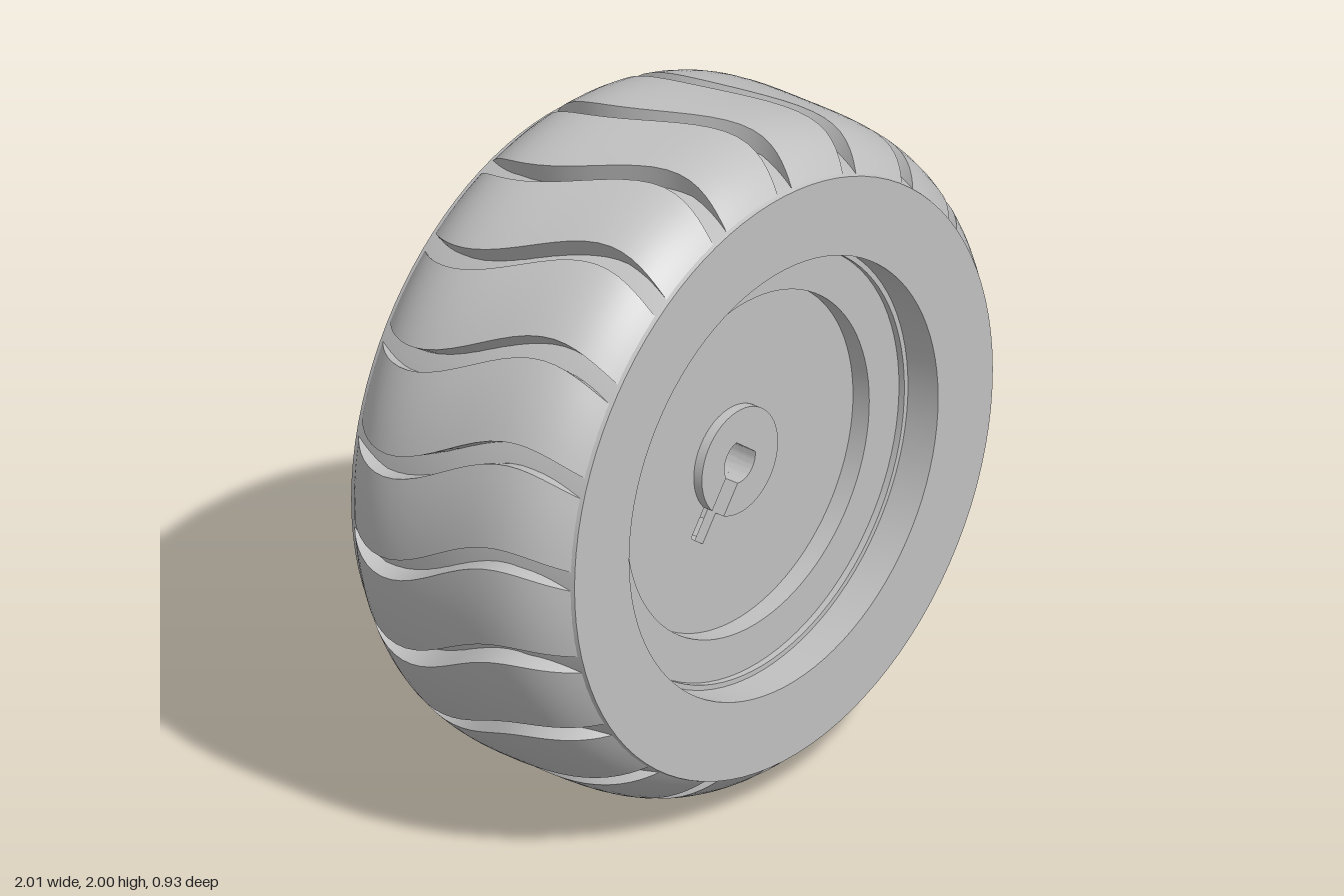
import * as THREE from 'three';
import { mergeGeometries, toCreasedNormals } from 'three/addons/utils/BufferGeometryUtils.js';

const LUGS = 20, PITCH = (Math.PI * 2) / LUGS, GROOVE = 0.066;
const TREAD_HALF = 0.4, SLOT = 0.03, BORE = 0.065;

// Grid surface from a rule f(u, v) -> [x, y, z], facing du x dv
function grid(f, nu, nv) {
  const pos = [], idx = [];
  for (let j = 0; j <= nv; j++) for (let i = 0; i <= nu; i++) pos.push(...f(i / nu, j / nv));
  for (let j = 0; j < nv; j++) for (let i = 0; i < nu; i++) {
    const a = j * (nu + 1) + i, b = a + 1, c = a + nu + 1, d = c + 1;
    idx.push(a, b, d, a, d, c);
  }
  const g = new THREE.BufferGeometry();
  g.setAttribute('position', new THREE.Float32BufferAttribute(pos, 3));
  g.setIndex(idx);
  g.computeVertexNormals();
  return g;
}

// Points along an arc
function arc(r, a0, a1, n = 48) {
  return Array.from({ length: n + 1 }, (_, i) => {
    const a = a0 + ((a1 - a0) * i) / n;
    return new THREE.Vector2(r * Math.cos(a), r * Math.sin(a));
  });
}

// Flat plate between two depths, with an optional hole
function plate(outline, hole, z0, z1) {
  const shape = new THREE.Shape(outline);
  if (hole) shape.holes.push(new THREE.Path(hole));
  const g = new THREE.ExtrudeGeometry(shape, { depth: z1 - z0, bevelEnabled: false });
  g.translate(0, 0, z0);
  return toCreasedNormals(g, 0.5);
}

// One wavy tread block: crown surface and its two groove walls
function lugGeometry() {
  const zAt = t => TREAD_HALF * Math.sin((t - 0.5) * Math.PI);
  const crown = z => 0.882 + 0.116 * (1 - Math.abs(z / TREAD_HALF) ** 4);
  const wave = z => -0.085 * Math.sin((Math.PI * 2 * z) / 0.95);
  const point = (edge, t, h) => {
    const z = zAt(t), r = 0.87 + (crown(z) - 0.87) * h;
    const a = wave(z) + GROOVE / 2 + edge * (PITCH - GROOVE);
    return [r * Math.cos(a), r * Math.sin(a), z];
  };
  return mergeGeometries([
    grid((u, v) => point(u, v, 1), 6, 28),
    grid((u, v) => point(1, u, v), 28, 1),
    grid((u, v) => point(0, v, u), 1, 28),
  ]);
}

export function createModel() {
  const grey = new THREE.MeshStandardMaterial({ color: 0xc0c0c0 });
  grey.name = 'grey';
  const model = new THREE.Group();
  const wheel = new THREE.Group();
  wheel.name = 'wheel';
  wheel.position.y = 1;
  wheel.rotation.y = -0.063;
  model.add(wheel);

  const add = (name, geometry, parent = wheel) => {
    const m = new THREE.Mesh(geometry, grey);
    m.name = name;
    parent.add(m);
    return m;
  };

  // Tyre body with stepped front recess and deep rear cavity
  const profile = [
    [0.88, -0.411], [0.925, -0.25], [0.932, 0], [0.925, 0.25], [0.88, 0.411],
    [0.65, 0.411], [0.65, 0.3], [0.635, 0.3], [0.635, 0.28], [0.51, 0.28], [0.51, 0.22],
    [0.59, 0.19], [0.63, -0.411], [0.88, -0.411],
  ].map(p => new THREE.Vector2(...p));
  const body = new THREE.LatheGeometry(profile, 96);
  body.rotateX(Math.PI / 2);
  add('tyreBody', toCreasedNormals(body, 0.35));

  // Tread blocks
  const tread = new THREE.Group();
  tread.name = 'tread';
  wheel.add(tread);
  const lug = lugGeometry();
  for (let i = 0; i < LUGS; i++) add('treadBlock', lug, tread).rotation.z = i * PITCH + 0.02;

  // Hub, drawn with its key slot along +x and then turned
  const hub = new THREE.Group();
  hub.name = 'hub';
  hub.rotation.z = (234 * Math.PI) / 180;
  wheel.add(hub);
  const full = Math.PI * 2, s = Math.asin(SLOT / BORE), flat = 0.85;
  const bore = [...arc(BORE, s, Math.PI - flat, 16), ...arc(BORE, Math.PI + flat, full - s, 16)];
  const slotEnd = [new THREE.Vector2(0.25, -SLOT), new THREE.Vector2(0.25, SLOT)];
  const circle = r => arc(r, 0, full, 64).slice(0, -1);
  add('webDisc', plate(circle(0.595), [...slotEnd, ...bore], 0.19, 0.22), hub);
  const cut = Math.asin(SLOT / 0.16);
  add('frontBoss', plate([...arc(0.16, cut, full - cut), ...[...bore].reverse()], null, 0.22, 0.25), hub);
  add('rearBoss', plate(circle(0.186), circle(BORE), -0.09, 0.19), hub);

  // Zigzag ribs lining the rear cavity
  const ribs = new THREE.Group();
  ribs.name = 'cavityRibs';
  wheel.add(ribs);
  const rib = (name, degrees, width, length, z) => {
    const pivot = new THREE.Group();
    pivot.rotation.z = (degrees * Math.PI) / 180;
    ribs.add(pivot);
    add(name, new THREE.BoxGeometry(0.06, width, length), pivot).position.set(0.603, 0, z);
  };
  for (let i = 0; i < 12; i++) {
    const a = 22 + i * 30;
    rib('axialRib', a - 7.5, 0.032, 0.46, -0.13);
    rib('axialRib', a + 7.5, 0.032, 0.46, -0.13);
    rib('outerCrossRib', a, 0.155, 0.036, -0.342);
    rib('innerCrossRib', a + 15, 0.155, 0.036, 0.082);
  }
  return model;
}
